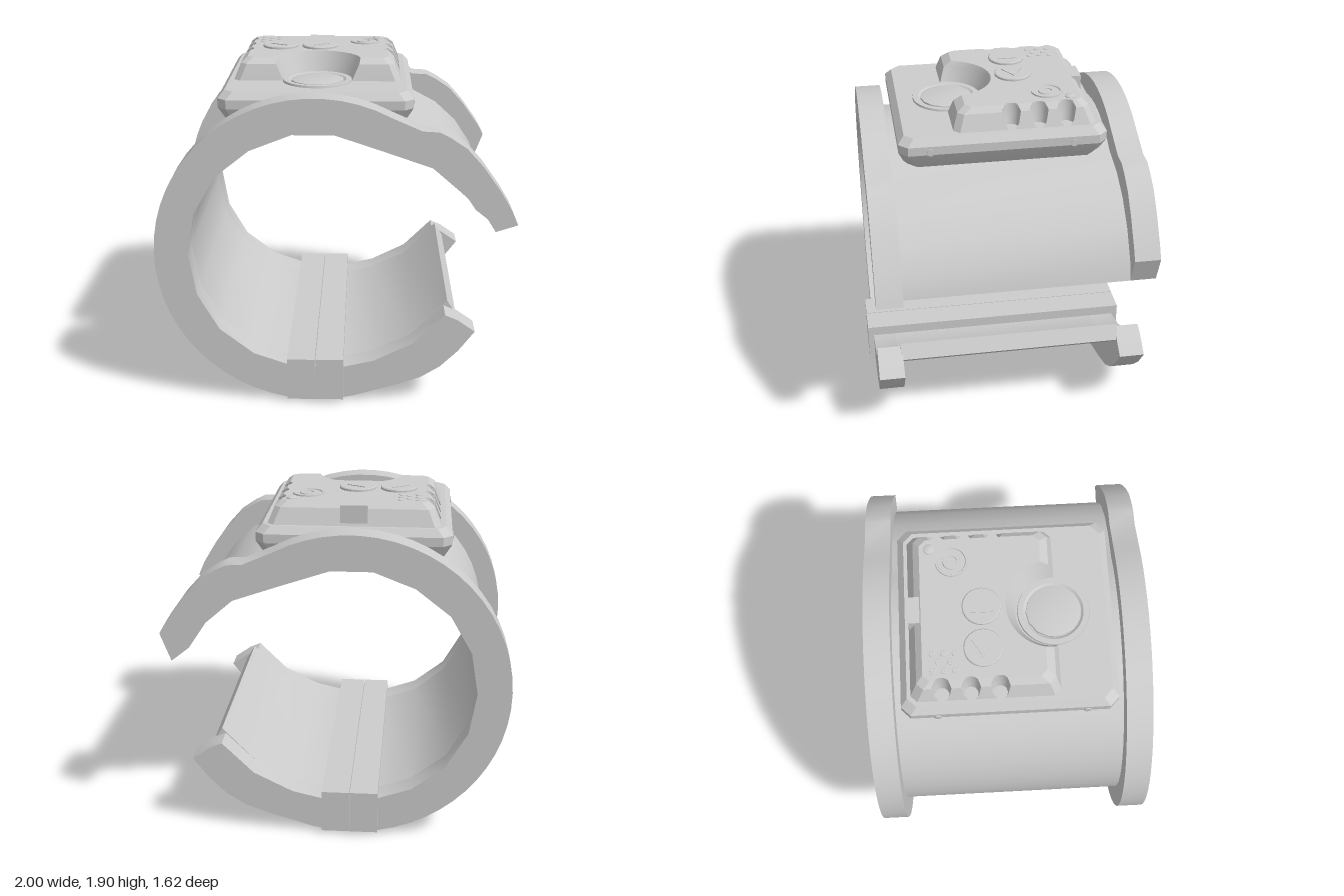
import * as THREE from 'three';
import { toCreasedNormals } from 'three/addons/utils/BufferGeometryUtils.js';

const CX = -0.11, CY = 0.9; // cuff axis
const mat = new THREE.MeshStandardMaterial({ color: 0xcccccc, side: THREE.DoubleSide });

const circlePts = (cx, cy, r, a0, a1, n) => Array.from({ length: n + 1 }, (_, i) => {
  const a = a0 + (a1 - a0) * i / n;
  return [cx + r * Math.cos(a), cy + r * Math.sin(a)];
});
const toShape = pts => new THREE.Shape(pts.map(p => new THREE.Vector2(p[0], p[1])));

export function createModel() {
  const model = new THREE.Group();
  const add = (name, geo, x = 0, y = 0, z = 0, parent = model) => {
    const m = new THREE.Mesh(geo, mat);
    m.name = name;
    m.position.set(x, y, z);
    parent.add(m);
    return m;
  };
  const slab = (pts, z0, z1) => {
    const g = new THREE.ExtrudeGeometry(toShape(pts), { depth: z1 - z0, bevelEnabled: false });
    return toCreasedNormals(g.translate(0, 0, z0), 0.45);
  };

  // Faceted inner wall, from the upper opening round to the lower one
  const inner = [[0.68, 1.28], [0.53, 1.41], [0.27, 1.5], [0, 1.59], [-0.23, 1.59], [-0.46, 1.5],
    [-0.65, 1.35], [-0.77, 1.14], [-0.81, 0.9], [-0.77, 0.66], [-0.65, 0.45], [-0.46, 0.3],
    [-0.23, 0.22], [0.05, 0.22], [0.22, 0.26], [0.44, 0.37]];
  const rad = Math.PI / 180;

  // Rims: arc with a flared upper tip and a shorter lower tip
  const rim = (upperTip, innerTip) => [
    ...upperTip, [0.9, 1.28], [0.8, 1.42], [0.71, 1.52], [0.62, 1.58], [0.56, 1.61], [0.47, 1.615],
    ...circlePts(CX, CY, 0.89, 62 * rad, 284 * rad, 36),
    [0.35, 0.11], [0.49, 0.16], [0.6, 0.23], [0.7, 0.33], [0.79, 0.45], [0.69, 0.52], [0.62, 0.55],
    ...[...inner].reverse(), ...innerTip];
  add('frontRim', slab(rim([[1, 1.09], [0.96, 1.18]], [[0.81, 1.16], [0.88, 1.05]]), 0.63, 0.775));
  add('backRim', slab(rim([[0.94, 1.21]], [[0.78, 1.13], [0.88, 1.05]]), -0.775, -0.63));

  // Cuff wall between the rims
  add('cuffShell', slab([
    [0.88, 1.05], [0.85, 1.16], [0.75, 1.31], [0.62, 1.43], [0.47, 1.51],
    ...circlePts(CX, CY, 0.77, 58 * rad, 284 * rad, 30),
    [0.22, 0.19], [0.4, 0.27], [0.56, 0.39], [0.69, 0.5], [0.64, 0.58],
    ...[...inner].reverse(), [0.78, 1.13]], -0.64, 0.64));

  // Split hinge bar along the bottom
  for (const s of [-1, 1])
    add('hingeBar', new THREE.BoxGeometry(0.158, 0.25, 1.62), CX + s * 0.081, 0.155, 0);

  // Stacks outlines (x, -z) at rising heights and closes top and bottom
  const loft = (name, levels, outline, crease) => {
    const rings = levels.map(l => outline(l)), pos = [], n = rings[0].length;
    const v = (k, i) => [rings[k][i % n][0], levels[k].y, -rings[k][i % n][1]];
    for (let k = 0; k + 1 < rings.length; k++)
      for (let i = 0; i < n; i++)
        pos.push(...v(k, i), ...v(k, i + 1), ...v(k + 1, i + 1), ...v(k, i), ...v(k + 1, i + 1), ...v(k + 1, i));
    const g = new THREE.BufferGeometry();
    g.setAttribute('position', new THREE.Float32BufferAttribute(pos, 3));
    add(name, toCreasedNormals(g, crease), 0, 0, 0, unit);
    const cap = k => new THREE.ShapeGeometry(toShape(rings[k])).rotateX(-Math.PI / 2);
    add(name + 'Top', cap(rings.length - 1), 0, levels.at(-1).y, 0, unit);
    add(name + 'Bottom', cap(0), 0, levels[0].y, 0, unit);
  };

  const unit = new THREE.Group();
  unit.name = 'controlUnit';
  unit.position.x = CX;
  model.add(unit);

  // Chamfered base plate
  loft('basePlate', [
    { y: 1.58, h: 0.48, d: 0.53 }, { y: 1.61, h: 0.5, d: 0.555 }, { y: 1.68, h: 0.54, d: 0.583 },
    { y: 1.73, h: 0.54, d: 0.583 }, { y: 1.77, h: 0.505, d: 0.548 }],
  ({ h, d }) => {
    const c = 0.05;
    return [[-h + c, -d], [h - c, -d], [h, -d + c], [h, d - c], [h - c, d], [-h + c, d], [-h, d - c], [-h, -d + c]];
  }, 0.2);

  // Raised housing with a conical front recess and three finger scallops per side
  loft('housing', [
    { y: 1.765, h: 0.48, f: 0.275, b: 0.53, R: 0.195, r: 0.038 },
    { y: 1.8, h: 0.465, f: 0.265, b: 0.515, R: 0.21, r: 0.045 },
    { y: 1.86, h: 0.44, f: 0.245, b: 0.49, R: 0.237, r: 0.054 },
    { y: 1.89, h: 0.405, f: 0.2, b: 0.455, R: 0.25, r: 0.056 }],
  ({ h, f, b, R, r }) => {
    const c = 0.035, a = Math.asin((0.25 - f) / R), t = Math.acos((h - 0.445) / r);
    const side = [[h, -f + c],
      ...[0.05, 0.205, 0.36].flatMap(z => circlePts(0.445, z, r, -t, t - 2 * Math.PI, 12)),
      [h, b - c]];
    return [[-h + c, -f], ...circlePts(0, -0.25, R, Math.PI - a, a, 24), [h - c, -f], ...side,
      [h - c, b], [-h + c, b], ...side.map(([x, z]) => [-x, z]).reverse()];
  }, 0.4);

  // Turned parts: radius/height profile, set on the unit
  const turned = (name, profile, sides, x, z) => add(name, toCreasedNormals(
    new THREE.LatheGeometry(profile.map(p => new THREE.Vector2(p[0], p[1])), sides), 0.5), x, 0, z, unit);
  turned('sensorCollar', [[0.2, 1.76], [0.195, 1.782], [0.165, 1.782], [0.152, 1.772]], 32, 0, 0.26);
  turned('sensorLens', [[0.152, 1.765], [0.15, 1.78], [0.135, 1.784], [0, 1.784]], 14, 0, 0.26);

  // Arrow buttons
  for (const s of [-1, 1]) {
    const x = s < 0 ? -0.235 : 0;
    turned('arrowButton', [[0.105, 1.88], [0.105, 1.9], [0.1, 1.905], [0, 1.905]], 32, x, -0.13);
    const tri = new THREE.ExtrudeGeometry(toShape([[s * 0.06, 0], [-s * 0.04, 0.06], [-s * 0.04, -0.06]]),
      { depth: 0.005, bevelEnabled: false }).rotateX(-Math.PI / 2);
    add('arrowMark', tri, x, 1.904, -0.13, unit);
  }

  // Power button and indicator
  turned('powerButtonRing', [[0.09, 1.885], [0.088, 1.898], [0.078, 1.898], [0.075, 1.892], [0, 1.892]], 28, 0.27, -0.28);
  turned('powerButtonCap', [[0.05, 1.89], [0.047, 1.898], [0.03, 1.898], [0.028, 1.893], [0, 1.893]], 24, 0.27, -0.28);
  turned('indicator', [[0.032, 1.885], [0.03, 1.895], [0.018, 1.9], [0, 1.901]], 16, 0.35, -0.4);

  // Speaker dots
  for (const [x, z] of [[-0.05, -0.06], [0.045, -0.06], [0, -0.03], [-0.05, 0], [0.045, 0], [0, 0.035], [-0.05, 0.06], [0.045, 0.06]])
    turned('speakerDot', [[0.019, 1.885], [0.018, 1.893], [0.011, 1.895], [0, 1.892]], 12, -0.3 + x, -0.34 + z);

  // Rear latch
  add('rearLatch', new THREE.BoxGeometry(0.15, 0.1, 0.07), 0, 1.835, -0.487, unit);

  // Side screws
  for (const s of [-1, 1])
    for (const z of [0.41, -0.39])
      add('sideScrew', new THREE.CylinderGeometry(0.02, 0.02, 0.02, 14).rotateZ(Math.PI / 2), s * 0.537, 1.695, z, unit);

  return model;
}
